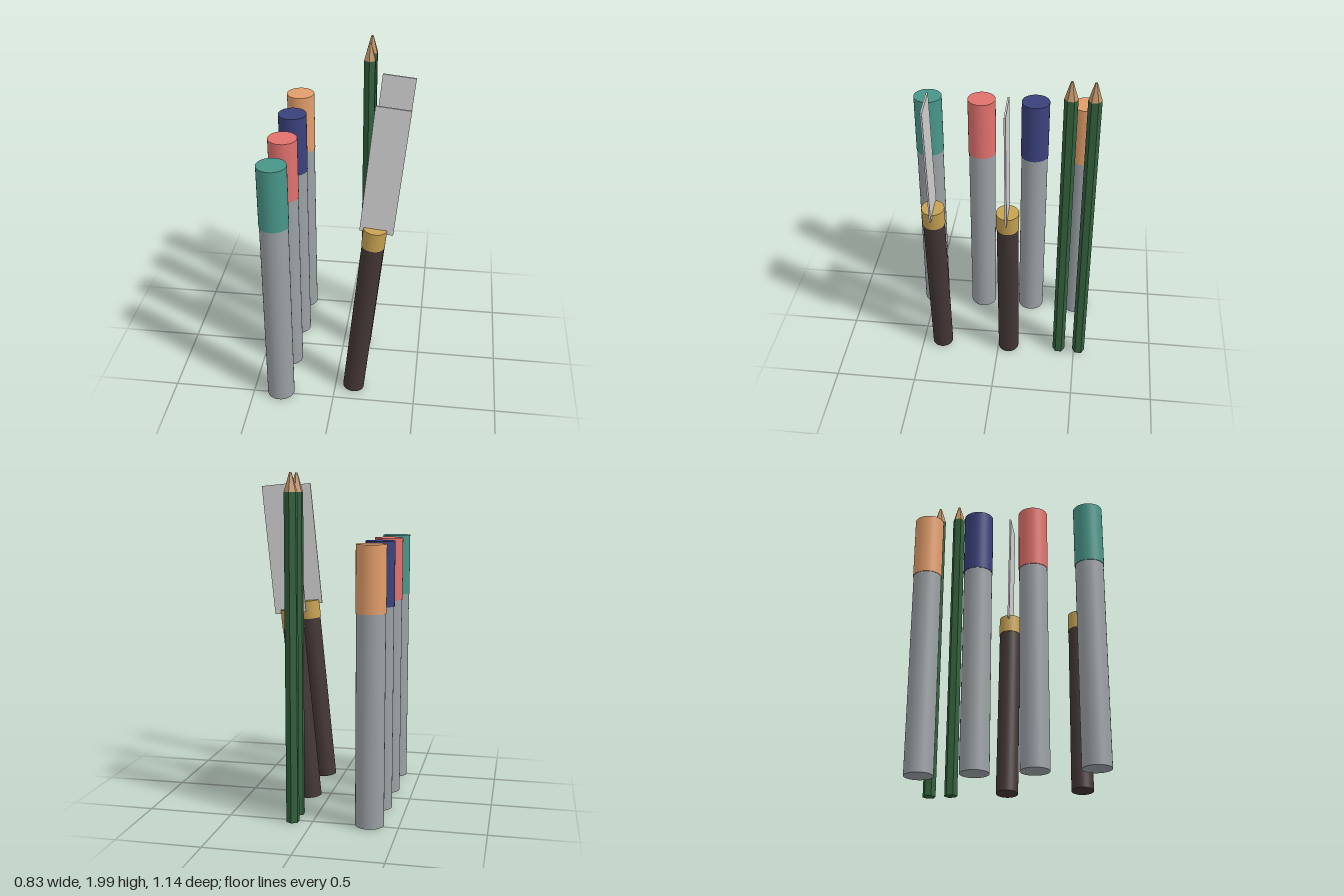
import * as THREE from 'three';

const paint = (name, color, flatShading = false) => {
  const m = new THREE.MeshStandardMaterial({ color, flatShading });
  m.name = name;
  return m;
};

function add(parent, name, geometry, material, x = 0, y = 0, z = 0) {
  const mesh = new THREE.Mesh(geometry, material);
  mesh.name = name;
  mesh.position.set(x, y, z);
  parent.add(mesh);
  return mesh;
}

// Upright cylinder between two heights
function rod(parent, name, material, rTop, rBottom, y0, y1, sides = 32) {
  const g = new THREE.CylinderGeometry(rTop, rBottom, y1 - y0, sides);
  return add(parent, name, g, material, 0, (y0 + y1) / 2, 0);
}

function part(parent, name, x, y, z) {
  const g = new THREE.Group();
  g.name = name;
  g.position.set(x, y, z);
  parent.add(g);
  return g;
}

export function createModel() {
  const model = new THREE.Group();
  model.name = 'artTools';

  const grey = paint('markerGrey', 0x9aa0a4);
  const green = paint('pencilGreen', 0x32603c, true);
  const wood = paint('sharpenedWood', 0xc09468, true);
  const darkWood = paint('handleBrown', 0x443636);
  const brass = paint('brass', 0xc5a152);
  const steel = paint('bladeSteel', 0xd0d0d2);

  // Row of markers with coloured caps
  const caps = [
    [0.485, paint('teal', 0x489689)],
    [0.153, paint('red', 0xe0716d)],
    [-0.178, paint('navy', 0x3a417b)],
    [-0.487, paint('orange', 0xe29d6a)],
  ];
  for (const [z, color] of caps) {
    const marker = part(model, 'marker', -0.331, 0, z);
    rod(marker, 'markerBody', grey, 0.083, 0.083, 0.01, 1.24);
    rod(marker, 'markerCap', color, 0.086, 0.086, 1.235, 1.615);
  }

  // Hexagonal pencils with cut tips
  for (const z of [-0.53, -0.4]) {
    const pencil = part(model, 'pencil', 0.112, 0, z);
    rod(pencil, 'pencilBody', green, 0.039, 0.039, 0.01, 1.893, 6);
    rod(pencil, 'pencilTip', wood, 0.007, 0.039, 1.893, 2, 6);
  }

  // Leaning palette knives: handle, ferrule and thin blade
  for (const z of [0.374, -0.067]) {
    const knife = part(model, 'paletteKnife', 0.113, 0.0065, z);
    knife.rotation.z = -0.1;
    rod(knife, 'knifeHandle', darkWood, 0.065, 0.065, 0.006, 1.075);
    rod(knife, 'knifeFerrule', brass, 0.068, 0.068, 1.07, 1.186);
    add(knife, 'knifeBlade', new THREE.BoxGeometry(0.194, 0.778, 0.01), steel, 0.008, 1.55, 0);
  }

  return model;
}
